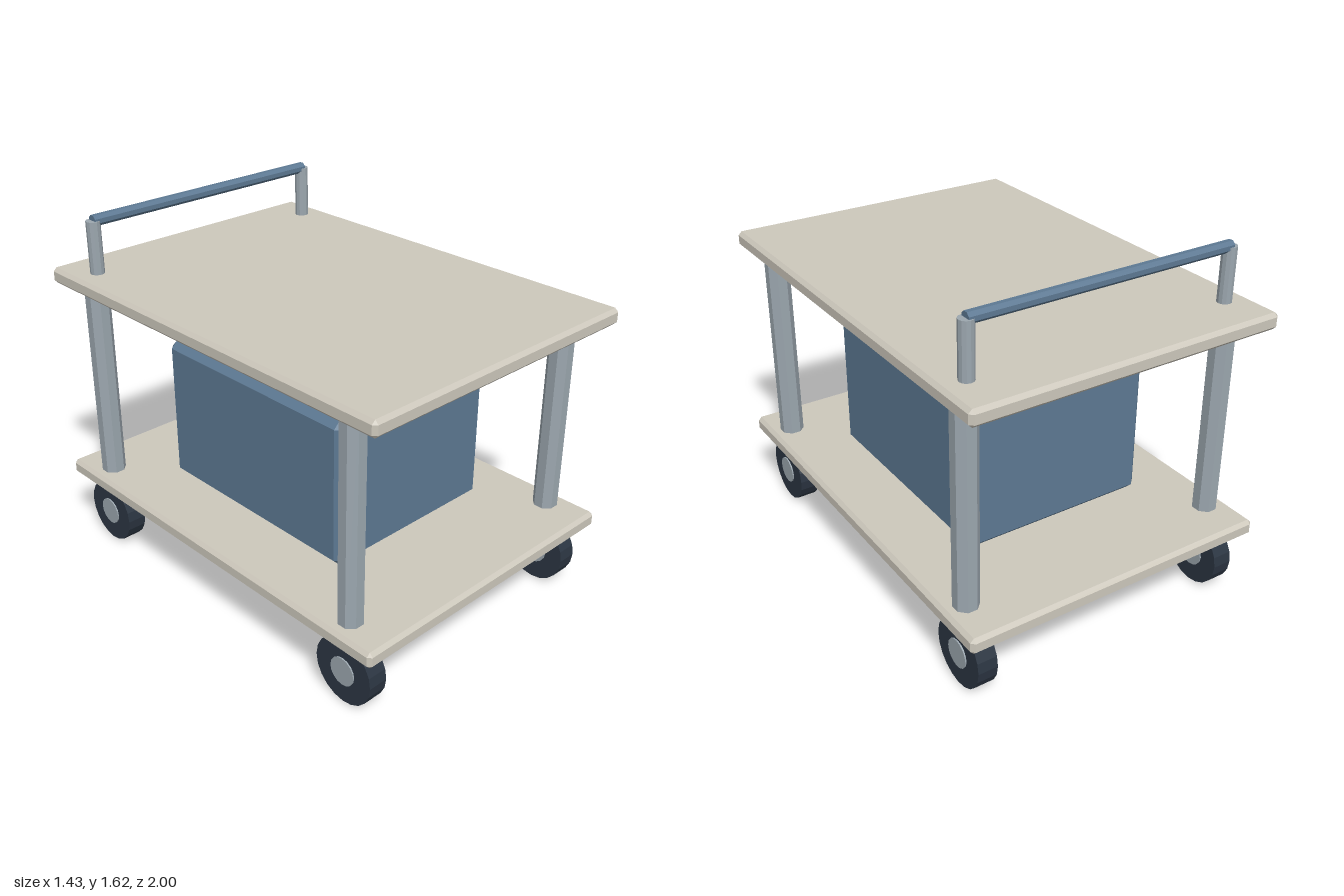
import * as THREE from 'three';
import { ConvexGeometry } from 'three/addons/geometries/ConvexGeometry.js';

const material = (color) => new THREE.MeshStandardMaterial({ color, flatShading: true });

// Box with every edge cut at 45 degrees
function chamferedBox(w, h, d, c) {
  const [x, y, z] = [w / 2, h / 2, d / 2];
  const points = [];
  for (const sx of [-1, 1]) for (const sy of [-1, 1]) for (const sz of [-1, 1]) {
    points.push(
      new THREE.Vector3(sx * x, sy * (y - c), sz * (z - c)),
      new THREE.Vector3(sx * (x - c), sy * y, sz * (z - c)),
      new THREE.Vector3(sx * (x - c), sy * (y - c), sz * z),
    );
  }
  return new ConvexGeometry(points);
}

// Eight-sided bar along y with flat sides facing the axes
function octagonBar(width, length) {
  const r = width / 2 / Math.cos(Math.PI / 8);
  return new THREE.CylinderGeometry(r, r, length, 8).rotateY(Math.PI / 8);
}

export function createModel() {
  const cart = new THREE.Group();
  cart.name = 'cart';
  const cream = material(0xcdc8bc);
  const steel = material(0x9ca7af);
  const blue = material(0x5d7993);
  const rubber = material(0x2c3643);

  const add = (name, geometry, mat, x, y, z, parent = cart) => {
    const mesh = new THREE.Mesh(geometry, mat);
    mesh.name = name;
    mesh.position.set(x, y, z);
    parent.add(mesh);
    return mesh;
  };

  // Shelves
  const shelf = chamferedBox(1.43, 0.073, 2, 0.016);
  add('lowerShelf', shelf, cream, 0, 0.342, 0);
  add('upperShelf', shelf, cream, 0, 1.323, 0);

  // Storage box, just clear of the lower shelf
  add('storageBox', chamferedBox(0.876, 0.67, 1.096, 0.03), blue, 0, 0.73, 0);

  // Corner posts and wheels
  const post = octagonBar(0.102, 1.01);
  const tyre = new THREE.CylinderGeometry(0.15, 0.15, 0.09, 20).rotateZ(Math.PI / 2);
  const hub = new THREE.CylinderGeometry(0.064, 0.064, 0.102, 16).rotateZ(Math.PI / 2);
  for (const sx of [-1, 1]) for (const sz of [-1, 1]) {
    const side = (sz > 0 ? 'front' : 'back') + (sx > 0 ? 'Left' : 'Right');
    add(side + 'Post', post, steel, sx * 0.617, 0.8, sz * 0.8);
    const wheel = new THREE.Group();
    wheel.name = side + 'Wheel';
    wheel.position.set(sx * 0.612, 0.153, sz * 0.8);
    add('tyre', tyre, rubber, 0, 0, 0, wheel);
    add('hub', hub, steel, 0, 0, 0, wheel);
    cart.add(wheel);
  }

  // Push handle at the back
  const upright = new THREE.CylinderGeometry(0.032, 0.032, 0.25, 12);
  for (const sx of [-1, 1]) {
    add(sx > 0 ? 'leftHandleUpright' : 'rightHandleUpright', upright, steel, sx * 0.605, 1.472, -0.8);
  }
  add('handleBar', octagonBar(0.048, 1.216).rotateZ(Math.PI / 2), blue, 0, 1.596, -0.8);

  return cart;
}
